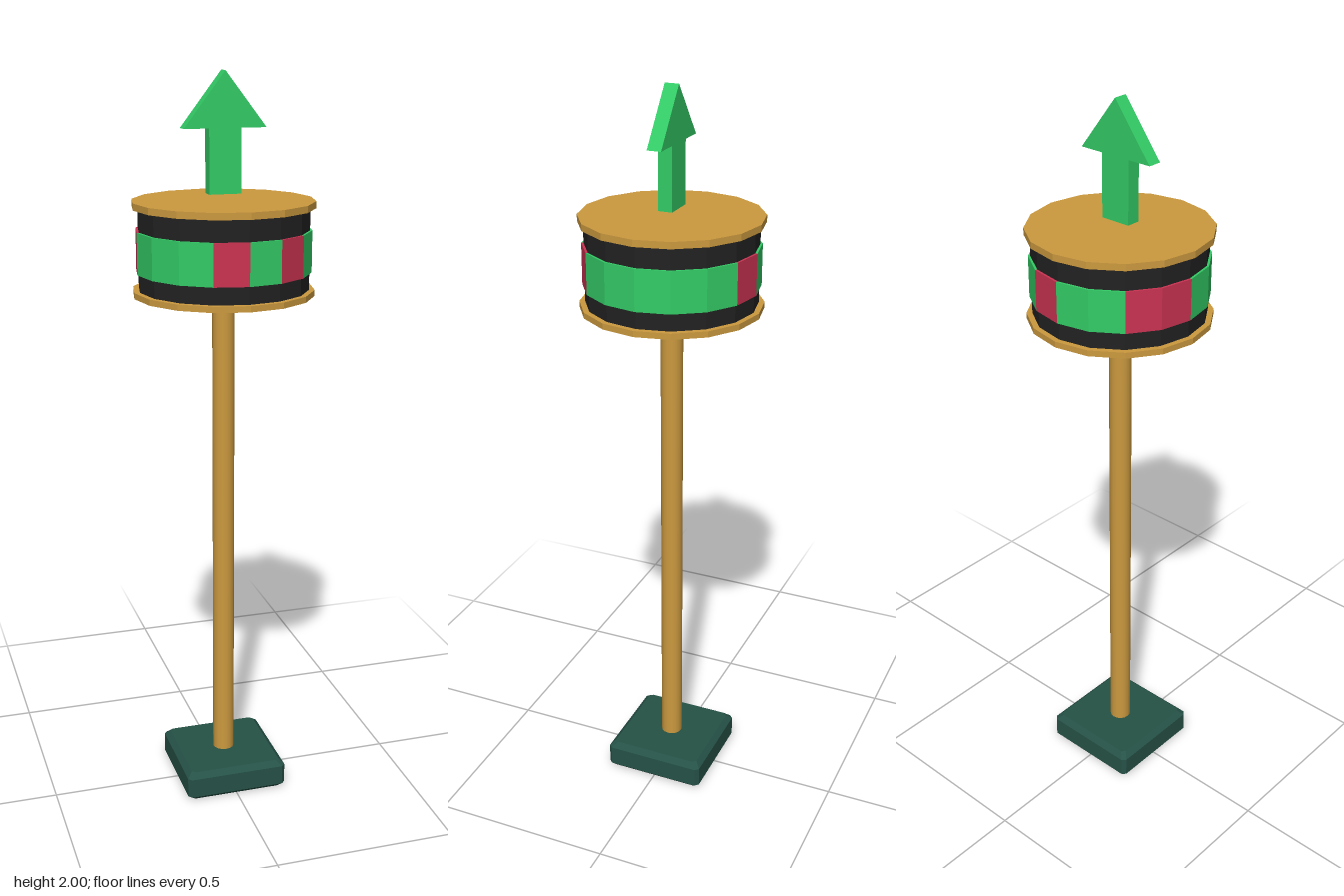
import * as THREE from 'three';

const material = (name, color, side = THREE.FrontSide) =>
  Object.assign(new THREE.MeshStandardMaterial({ color, flatShading: true, side }), { name });

export function createModel() {
  const gold = material('gold', 0xcc9a3f);
  const black = material('black', 0x222222);
  const green = material('green', 0x33cc66);
  const red = material('red', 0xcc3352);
  const darkGreen = material('darkGreen', 0x265247, THREE.DoubleSide);
  const smoothGold = gold.clone();
  smoothGold.flatShading = false;

  const model = new THREE.Group();
  const add = (name, geometry, mat, parent = model) => {
    const mesh = new THREE.Mesh(geometry, mat);
    mesh.name = name;
    parent.add(mesh);
    return mesh;
  };
  // Upright cylinder between two heights
  const drum = (name, radius, y0, y1, sides, mat) => {
    add(name, new THREE.CylinderGeometry(radius, radius, y1 - y0, sides), mat).position.y = (y0 + y1) / 2;
  };

  // Base: bevelled square shell, open underneath
  const rings = [[0, 0.132], [0.012, 0.144], [0.068, 0.144], [0.083, 0.129]];
  const c = 0.01;
  const positions = [];
  const index = [];
  for (const [y, h] of rings) {
    const outline = [[h, h - c], [h, c - h], [h - c, -h], [c - h, -h], [-h, c - h], [-h, h - c], [c - h, h], [h - c, h]];
    for (const [x, z] of outline) positions.push(x, y, z);
  }
  for (let r = 0; r < rings.length - 1; r++) {
    for (let i = 0; i < 8; i++) {
      const a = r * 8 + i, b = r * 8 + (i + 1) % 8;
      index.push(a, b, b + 8, a, b + 8, a + 8);
    }
  }
  const top = (rings.length - 1) * 8;
  for (let i = 1; i < 7; i++) index.push(top, top + i, top + i + 1);
  const baseGeometry = new THREE.BufferGeometry();
  baseGeometry.setAttribute('position', new THREE.Float32BufferAttribute(positions, 3));
  baseGeometry.setIndex(index);
  baseGeometry.computeVertexNormals();
  add('base', baseGeometry, darkGreen);

  // Pole and collar
  drum('pole', 0.03, 0.08, 1.43, 16, smoothGold);
  drum('collar', 0.055, 1.395, 1.43, 16, smoothGold);

  // Drum: two end plates around a black core
  drum('lowerPlate', 0.241, 1.428, 1.444, 16, gold);
  drum('core', 0.226, 1.444, 1.657, 16, black);
  drum('upperPlate', 0.241, 1.657, 1.675, 16, gold);

  // Coloured band of sixteen panels, slightly proud of the core
  const band = new THREE.Group();
  band.name = 'colourBand';
  model.add(band);
  const R = 0.232, r = 0.22, step = Math.PI / 8;
  const redPanels = [1, 7, 10, 11, 15];
  for (let i = 0; i < 16; i++) {
    const s = Math.sin(step), k = Math.cos(step);
    const shape = new THREE.Shape([[0, r], [0, R], [R * s, R * k], [r * s, r * k]].map(([x, y]) => new THREE.Vector2(x, y)));
    const panel = new THREE.ExtrudeGeometry(shape, { depth: 0.11, bevelEnabled: false });
    panel.rotateX(Math.PI / 2).rotateY(i * step).translate(0, 1.6, 0);
    add('bandPanel', panel, redPanels.includes(i) ? red : green, band);
  }

  // Arrow floating above the drum
  const arrow = new THREE.Shape([[-0.043, 1.692], [0.043, 1.692], [0.043, 1.858], [0.11, 1.858],
    [0, 2], [-0.11, 1.858], [-0.043, 1.858]].map(([x, y]) => new THREE.Vector2(x, y)));
  add('arrow', new THREE.ExtrudeGeometry(arrow, { depth: 0.038, bevelEnabled: false }).translate(0, 0, -0.019), green);

  return model;
}
